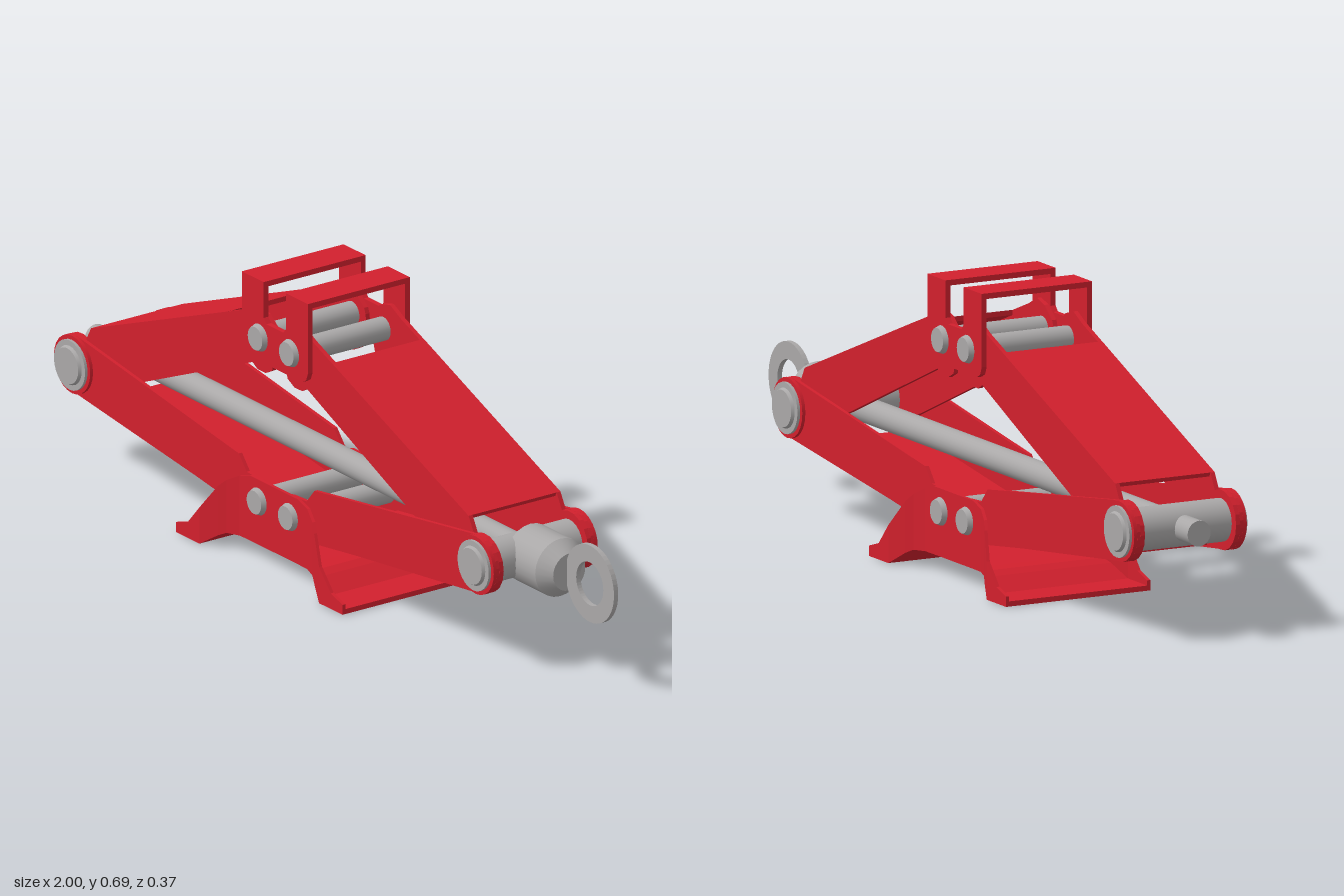
import * as THREE from 'three';

const red = new THREE.MeshStandardMaterial({ color: 0xd2202d });
red.name = 'red paint';
const steel = new THREE.MeshStandardMaterial({ color: 0xaaa8a8 });
steel.name = 'bare steel';

const PIVOT = [0.775, 0.255];   // side trunnion, measured from the jack's middle
const TOP_PIN = [0.06, 0.545];
const LOW_PIN = [0.06, 0.147];

function add(parent, name, geometry, material, x = 0, y = 0, z = 0) {
  const mesh = new THREE.Mesh(geometry, material);
  mesh.name = name;
  mesh.position.set(x, y, z);
  parent.add(mesh);
  return mesh;
}

// Flat plate cut from an outline in x/y, lying between z0 and z1
function plate(points, z0, z1) {
  const shape = new THREE.Shape(points.map(p => new THREE.Vector2(p[0], p[1])));
  const geo = new THREE.ExtrudeGeometry(shape, { depth: z1 - z0, bevelEnabled: false });
  return geo.translate(0, 0, z0);
}

// Points along an arc, angles in degrees
function arc([cx, cy], r, from, to, n = 12) {
  return Array.from({ length: n + 1 }, (_, i) => {
    const a = THREE.MathUtils.degToRad(from + (to - from) * i / n);
    return [cx + r * Math.cos(a), cy + r * Math.sin(a)];
  });
}

// Cylinder along z between z0 and z1
function rodZ(r, z0, z1, r2 = r) {
  return new THREE.CylinderGeometry(r2, r, z1 - z0, 24).rotateX(Math.PI / 2).translate(0, 0, (z0 + z1) / 2);
}

// Cylinder along x between x0 and x1
function rodX(r0, r1, x0, x1) {
  return new THREE.CylinderGeometry(r1, r0, x1 - x0, 24).rotateZ(-Math.PI / 2).translate((x0 + x1) / 2, 0, 0);
}

// Channel arm: two side walls joined by a web; s = 1 or -1 picks the side
function arm(parent, name, s, wall, web, z0, z1) {
  const group = new THREE.Group();
  group.name = name;
  const flip = pts => pts.map(([x, y]) => [x * s, y]);
  add(group, 'armWallFront', plate(flip(wall), z0, z1), red);
  add(group, 'armWallBack', plate(flip(wall), -z1, -z0), red);
  add(group, 'armWeb', plate(flip(web), -z1, z1), red);
  parent.add(group);
}

// Pin with a chamfered head at both ends
function pin(parent, name, x, y, headZ) {
  const group = new THREE.Group();
  group.name = name;
  group.position.set(x, y, 0);
  add(group, 'pinShaft', rodZ(0.028, -headZ, headZ), steel);
  for (const s of [1, -1]) {
    const head = add(group, 'pinHead', rodZ(0.034, headZ - 0.004, headZ + 0.011, 0.028), steel);
    if (s < 0) head.rotation.y = Math.PI;
  }
  parent.add(group);
}

// Base: U-shaped channel that flares out into two feet
function baseGeometry() {
  // distance from middle, half width, floor height, wall top
  const half = [
    [0.32, 0.187, 0, 0.024], [0.275, 0.187, 0, 0.038], [0.23, 0.187, 0, 0.088],
    [0.185, 0.168, 0.03, 0.15], [0.165, 0.158, 0.04, 0.169], [0.13, 0.147, 0.042, 0.188], [0.09, 0.146, 0.042, 0.2],
  ];
  const stations = [...half.map(([d, ...r]) => [-d, ...r]), ...half.slice().reverse()];
  const t = 0.008, pos = [], idx = [];
  for (const [x, w, f, h] of stations) {
    const ring = [[h, w], [f, w], [f, -w], [h, -w], [h, t - w], [f + 0.012, t - w], [f + 0.012, w - t], [h, w - t]];
    for (const [y, z] of ring) pos.push(x, y, z);
  }
  const n = 8, last = (stations.length - 1) * n;
  for (let i = 0; i < stations.length - 1; i++) {
    for (let j = 0; j < n; j++) {
      const a = i * n + j, b = i * n + (j + 1) % n;
      idx.push(a, b, b + n, a, b + n, a + n);
    }
  }
  for (const [a, b, c, d] of [[0, 1, 6, 7], [1, 2, 5, 6], [2, 3, 4, 5]]) {
    idx.push(a, c, b, a, d, c);
    idx.push(last + a, last + b, last + c, last + a, last + c, last + d);
  }
  const geo = new THREE.BufferGeometry();
  geo.setAttribute('position', new THREE.Float32BufferAttribute(pos, 3));
  geo.setIndex(idx);
  const flat = geo.toNonIndexed();
  flat.computeVertexNormals();
  return flat;
}

export function createModel() {
  const model = new THREE.Group();
  model.name = 'scissorJack';
  const jack = new THREE.Group();
  jack.name = 'jackBody';
  jack.position.x = -0.115;
  model.add(jack);

  add(jack, 'base', baseGeometry(), red);

  // Arm outlines for the left side
  const upperWall = [
    ...arc(PIVOT, 0.07, -114, 115), [0.725, 0.355], [0.125, 0.59], [0.085, 0.61], [0.05, 0.6],
    ...arc(TOP_PIN, 0.053, 150, 215, 4), [0.03, 0.47], [0.055, 0.457], [0.085, 0.457], [0.105, 0.468],
  ];
  const upperWeb = [[0.2, 0.549], [0.2, 0.561], [0.725, 0.355], [0.72, 0.345]];
  const lowerWall = [
    ...arc(PIVOT, 0.07, -82, 98), [0.145, 0.235], [0.115, 0.2],
    ...arc(LOW_PIN, 0.05, 90, 270, 8), [0.115, 0.105],
  ];
  const lowerWeb = [[0.1, 0.1], [0.69, 0.18], [0.69, 0.192], [0.1, 0.112]];

  for (const s of [1, -1]) {
    const side = s > 0 ? 'left' : 'right';
    arm(jack, side + 'UpperArm', s, upperWall, upperWeb, 0.118, 0.129);
    arm(jack, side + 'LowerArm', s, lowerWall, lowerWeb, 0.129, 0.138);
    pin(jack, side + 'TopPin', s * TOP_PIN[0], TOP_PIN[1], 0.144);
    pin(jack, side + 'BasePin', s * LOW_PIN[0], LOW_PIN[1], 0.147);

    // Side trunnion with washers and end caps
    const trunnion = new THREE.Group();
    trunnion.name = side + 'Trunnion';
    trunnion.position.set(s * PIVOT[0], PIVOT[1], 0);
    add(trunnion, 'trunnionBar', rodZ(0.05, -0.135, 0.135), steel);
    for (const e of [0, Math.PI]) {
      add(trunnion, 'armBoss', rodZ(0.07, 0.137, 0.146), red).rotation.y = e;
      add(trunnion, 'washer', rodZ(0.06, 0.146, 0.153), steel).rotation.y = e;
      add(trunnion, 'endCap', rodZ(0.047, 0.153, 0.16, 0.043), steel).rotation.y = e;
    }
    jack.add(trunnion);
  }

  // Top saddle: two side plates with twin straps folded over the top
  const saddle = new THREE.Group();
  saddle.name = 'saddle';
  const rightHalf = [
    [0.105, 0.488], [0.12, 0.497], [0.127, 0.515], [0.127, 0.685], [0.043, 0.685], [0.043, 0.598], [0.032, 0.586],
  ];
  const outline = [...rightHalf, ...rightHalf.slice().reverse().map(([x, y]) => [-x, y])];
  add(saddle, 'saddlePlateFront', plate(outline, 0.13, 0.143), red);
  add(saddle, 'saddlePlateBack', plate(outline, -0.143, -0.13), red);
  for (const s of [1, -1]) {
    add(saddle, 'saddleStrap', new THREE.BoxGeometry(0.084, 0.013, 0.262), red, s * 0.085, 0.6785);
  }
  jack.add(saddle);

  // Lead screw, drive collar and turning eye
  const y = PIVOT[1];
  add(model, 'leadScrew', rodX(0.03, 0.03, -1, 0.7), steel, 0, y);
  add(model, 'driveCollar', rodX(0.07, 0.07, 0.67, 0.785), steel, 0, y);
  add(model, 'collarTaper', rodX(0.07, 0.045, 0.785, 0.82), steel, 0, y);
  const eye = new THREE.Shape().absarc(0, 0, 0.093, 0, Math.PI * 2);
  eye.holes.push(new THREE.Path().absarc(0, 0, 0.052, 0, Math.PI * 2, true));
  const eyeGeo = new THREE.ExtrudeGeometry(eye, { depth: 0.012, bevelEnabled: false, curveSegments: 24 });
  add(model, 'turningEye', eyeGeo, steel, 0.907, y, -0.006);

  return model;
}
